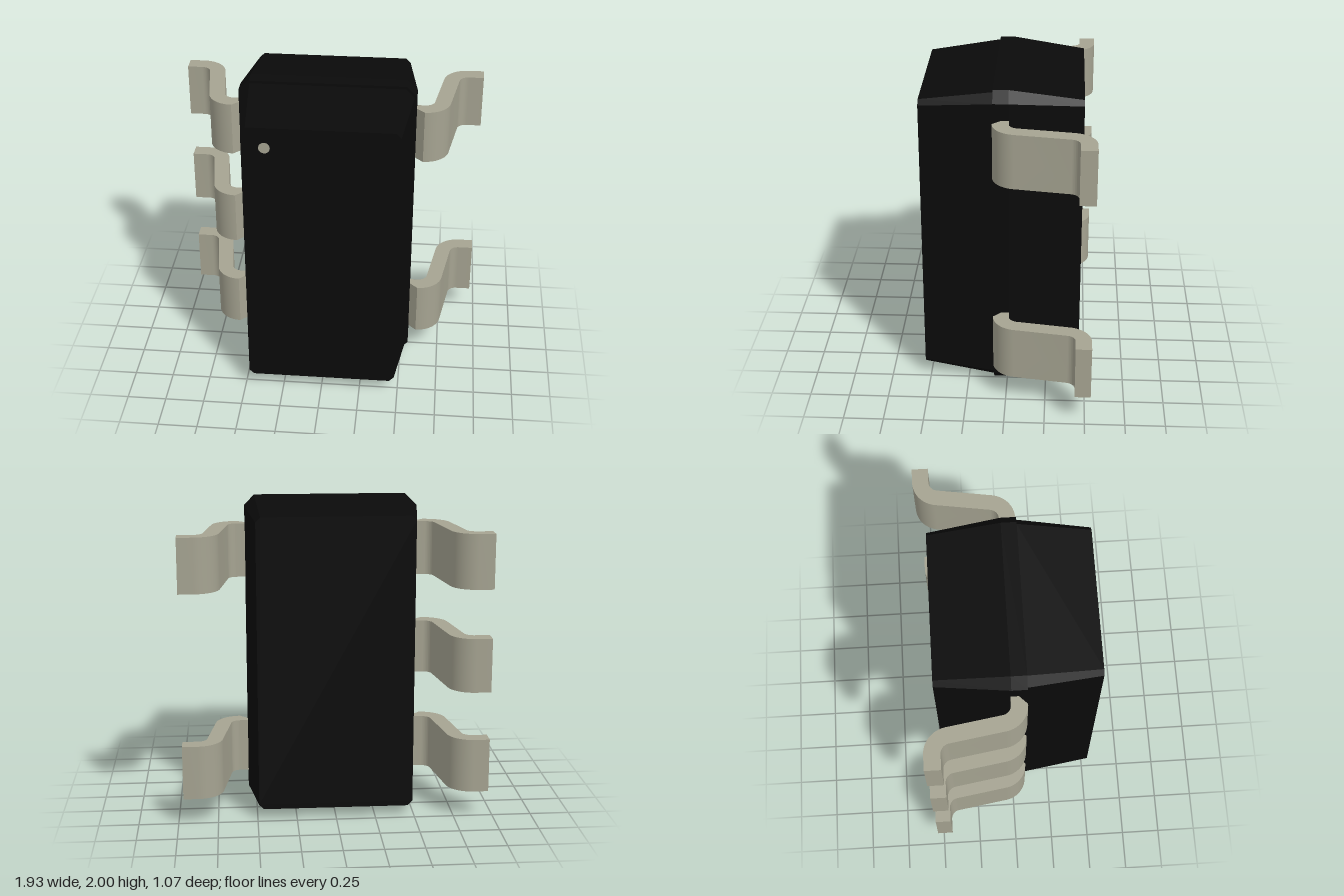
import * as THREE from 'three';
import { toCreasedNormals } from 'three/addons/utils/BufferGeometryUtils.js';

const bodyBlack = new THREE.MeshStandardMaterial({ color: 0x0a0a0a });
bodyBlack.name = 'bodyBlack';
const tinnedMetal = new THREE.MeshStandardMaterial({ color: 0xa5a391 });
tinnedMetal.name = 'tinnedMetal';

// Rectangle with cut corners at depth z, counter-clockwise seen from the front
function ring({ z, w, h, c }) {
  return [
    [w, -h + c], [w, h - c], [w - c, h], [-w + c, h],
    [-w, h - c], [-w, -h + c], [-w + c, -h], [w - c, -h],
  ].map(([x, y]) => [x, y + 1, z]);
}

// Moulded case: cross-sections joined from back to front, capped at both ends
function bodyGeometry() {
  const rings = [
    { z: -0.46, w: 0.49, h: 0.935, c: 0.03 },
    { z: -0.01, w: 0.55, h: 1, c: 0.065 },
    { z: 0.085, w: 0.55, h: 1, c: 0.065 },
    { z: 0.085, w: 0.535, h: 0.983, c: 0.055 },
    { z: 0.535, w: 0.475, h: 0.918, c: 0.03 },
  ].map(ring);
  const pos = [];
  const tri = (a, b, c) => pos.push(...a, ...b, ...c);
  const n = 8;
  for (let r = 0; r < rings.length - 1; r++) {
    for (let i = 0; i < n; i++) {
      const j = (i + 1) % n;
      const [a, b, c, d] = [rings[r][i], rings[r][j], rings[r + 1][j], rings[r + 1][i]];
      tri(a, b, c);
      tri(a, c, d);
    }
  }
  const back = rings[0];
  const front = rings[rings.length - 1];
  for (let i = 1; i < n - 1; i++) {
    tri(back[0], back[i + 1], back[i]);
    tri(front[0], front[i], front[i + 1]);
  }
  const geo = new THREE.BufferGeometry();
  geo.setAttribute('position', new THREE.Float32BufferAttribute(pos, 3));
  geo.computeVertexNormals();
  return geo;
}

// Gull-wing lead: S-shaped strip of constant thickness, extruded upwards
function leadGeometry(side) {
  const a = THREE.MathUtils.degToRad(9);
  const quarter = Math.PI / 2;
  const near = [0.6, 0.075];
  const far = [0.87, 0.375];
  const outline = new THREE.Shape();
  outline.moveTo(0.5, -0.085);
  outline.absarc(...near, 0.16, -quarter, -a, false);
  outline.absarc(...far, 0.06, Math.PI - a, quarter, true);
  outline.lineTo(0.965, 0.435);
  outline.lineTo(0.965, 0.535);
  outline.absarc(...far, 0.16, quarter, Math.PI - a, false);
  outline.absarc(...near, 0.06, -a, -quarter, true);
  outline.lineTo(0.5, 0.015);
  const points = outline.getPoints(10).map((p) => new THREE.Vector2(p.x * side, p.y));
  const geo = new THREE.ExtrudeGeometry(new THREE.Shape(points), { depth: 0.345, bevelEnabled: false });
  geo.rotateX(-Math.PI / 2);
  return toCreasedNormals(geo, 0.6);
}

export function createModel() {
  const model = new THREE.Group();
  model.name = 'chipPackage';

  const body = new THREE.Mesh(bodyGeometry(), bodyBlack);
  body.name = 'body';
  model.add(body);

  // Pin-one marker
  const dot = new THREE.Mesh(new THREE.CylinderGeometry(0.035, 0.035, 0.004, 24), tinnedMetal);
  dot.name = 'pinOneDot';
  dot.rotation.x = Math.PI / 2;
  dot.position.set(-0.335, 1.785, 0.535);
  model.add(dot);

  // Three leads on the right, two on the left
  const rows = [
    { name: 'rightLead', side: -1, heights: [0.175, 0.83, 1.485] },
    { name: 'leftLead', side: 1, heights: [0.175, 1.485] },
  ];
  for (const { name, side, heights } of rows) {
    const geo = leadGeometry(side);
    heights.forEach((y, i) => {
      const lead = new THREE.Mesh(geo, tinnedMetal);
      lead.name = `${name}${i + 1}`;
      lead.position.y = y;
      model.add(lead);
    });
  }
  return model;
}
